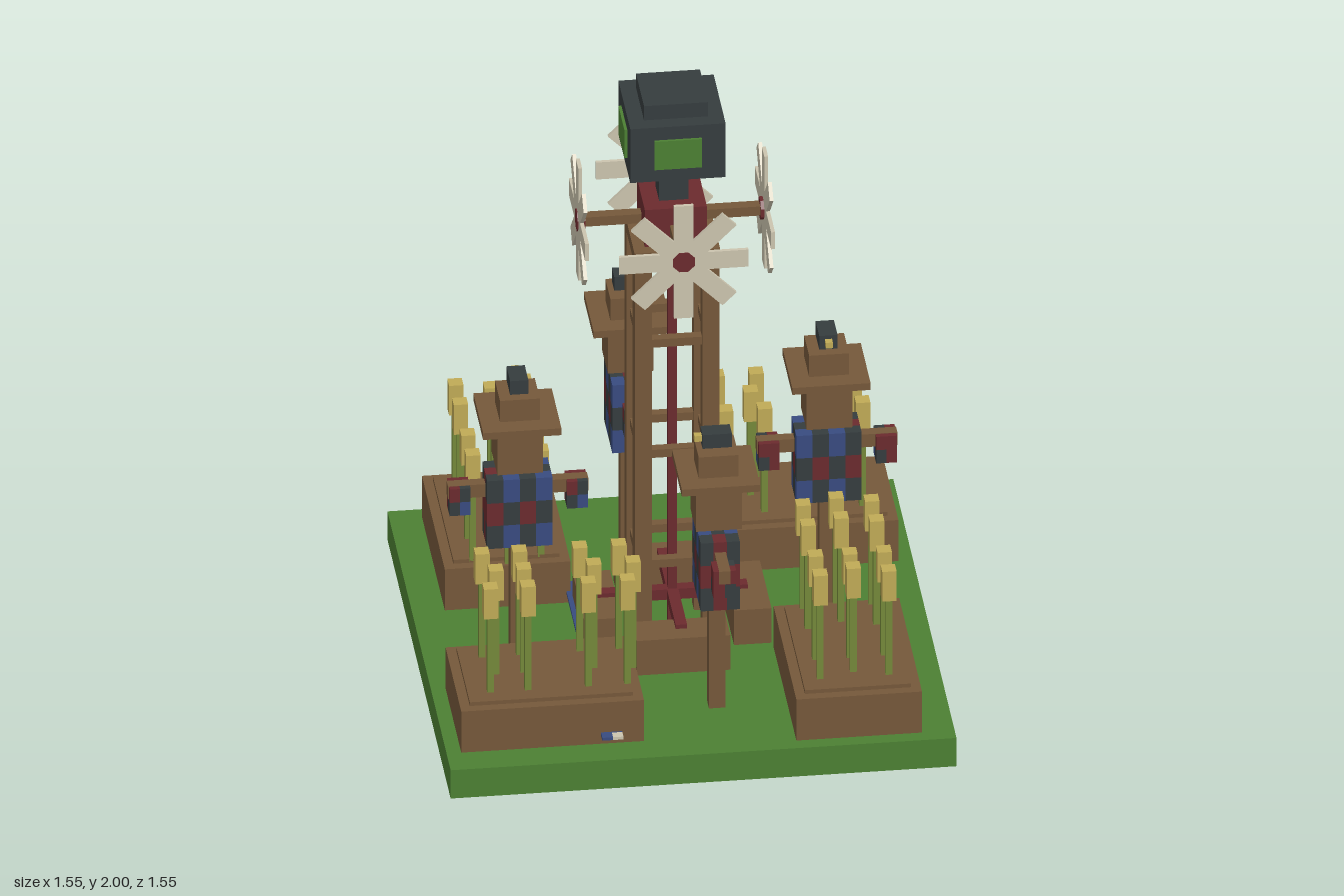
import * as THREE from 'three';

const mat = (name, color) => {
  const m = new THREE.MeshStandardMaterial({ color });
  m.name = name;
  return m;
};

export function createModel() {
  const grass = mat('grass', 0x4c8033);
  const wood = mat('wood', 0x75583a);
  const dark = mat('charcoal', 0x353c3e);
  const blue = mat('blue cloth', 0x384b80);
  const red = mat('dark red', 0x6b2a2e);
  const cream = mat('cream', 0xcbc4ae);
  const gold = mat('wheat gold', 0xc0aa56);
  const stem = mat('stem green', 0x74883a);

  const group = (name, parent) => {
    const g = new THREE.Group();
    g.name = name;
    parent.add(g);
    return g;
  };
  // Box from its min and max along each axis
  const box = (parent, name, m, [x0, x1], [y0, y1], [z0, z1]) => {
    const mesh = new THREE.Mesh(new THREE.BoxGeometry(x1 - x0, y1 - y0, z1 - z0), m);
    mesh.position.set((x0 + x1) / 2, (y0 + y1) / 2, (z0 + z1) / 2);
    mesh.name = name;
    parent.add(mesh);
    return mesh;
  };
  const mid = (w, c = 0) => [c - w / 2, c + w / 2];

  // Gingham block of coloured cells
  const gingham = (parent, name, xr, yr, zr, n) => {
    const g = group(name, parent);
    const span = (r, i, k) => [r[0] + ((r[1] - r[0]) * i) / k, r[0] + ((r[1] - r[0]) * (i + 1)) / k];
    for (let i = 0; i < n[0]; i++)
      for (let j = 0; j < n[1]; j++)
        for (let k = 0; k < n[2]; k++) {
          const odd = (i % 2) + (j % 2) + (k % 2);
          box(g, 'clothPatch', [blue, dark, red, red][odd],
            span(xr, i, n[0]), span(yr, j, n[1]), span(zr, k, n[2]));
        }
  };

  // Raised bed with rows of wheat
  const buildPlanter = (parent) => {
    const g = group('planter', parent);
    box(g, 'planterBox', wood, [-0.73, -0.17], [0.1, 0.245], [0.29, 0.675]);
    box(g, 'soil', wood, [-0.7, -0.2], [0.245, 0.258], [0.32, 0.645]);
    const outer = [-0.63, -0.515, -0.33, -0.21];
    const inner = [-0.6, -0.515, -0.3, -0.18];
    [[0.375, outer], [0.48, inner], [0.585, outer]].forEach(([z, xs]) => {
      for (const x of xs) {
        box(g, 'wheatStem', stem, mid(0.02, x), [0.25, 0.53], mid(0.02, z));
        box(g, 'wheatHead', gold, mid(0.044, x), [0.525, 0.63], mid(0.044, z));
      }
    });
  };

  // Scarecrow with a bird on its hat
  const buildScarecrow = (parent) => {
    const g = group('scarecrow', parent);
    g.position.set(0.483, 0, -0.075);
    box(g, 'post', wood, mid(0.05), [0.1, 0.77], mid(0.05));
    box(g, 'armPole', wood, mid(0.43), [0.65, 0.695], mid(0.035));
    gingham(g, 'shirt', mid(0.2), [0.49, 0.73], mid(0.12), [4, 3, 3]);
    for (const s of [-1, 1]) gingham(g, 'sleeve', mid(0.064, s * 0.18), [0.6, 0.694], mid(0.07), [2, 2, 2]);
    box(g, 'head', wood, mid(0.14), [0.755, 0.9], mid(0.14));
    box(g, 'hatBand', wood, mid(0.1), [0.9, 0.915], mid(0.1));
    box(g, 'hatBrim', wood, mid(0.24), [0.913, 0.937], mid(0.24));
    box(g, 'hatCrown', wood, mid(0.122), [0.937, 1.012], mid(0.122));
    box(g, 'birdLegs', dark, mid(0.02), [1.012, 1.024], mid(0.02));
    box(g, 'birdBody', dark, mid(0.056), [1.022, 1.07], mid(0.09));
    box(g, 'birdBeak', gold, mid(0.022), [1.038, 1.058], [0.045, 0.068]);
  };

  // Wind wheel on an axle facing +z
  const buildWheel = (parent) => {
    const g = group('windWheel', parent);
    g.position.y = 1.555;
    box(g, 'axle', wood, mid(0.036), mid(0.032), [0.09, 0.275]);
    const hub = new THREE.Mesh(new THREE.CylinderGeometry(0.036, 0.036, 0.025, 8).toNonIndexed(), red);
    hub.geometry.computeVertexNormals();
    hub.geometry.rotateY(Math.PI / 8);
    hub.geometry.rotateX(Math.PI / 2);
    hub.position.z = 0.281;
    hub.name = 'hub';
    g.add(hub);
    for (let i = 0; i < 8; i++) {
      const arm = group('bladeArm', g);
      arm.rotation.z = (i * Math.PI) / 4;
      box(arm, 'blade', cream, mid(0.06), [0.02, 0.198], mid(0.012, 0.285));
    }
  };

  const model = new THREE.Group();
  model.name = 'windmillFarm';
  box(model, 'grassBase', grass, mid(1.55), [0, 0.1], mid(1.55));

  // Four matching quarters
  for (let q = 0; q < 4; q++) {
    const g = group('quarter', model);
    g.rotation.y = (q * Math.PI) / 2;
    buildPlanter(g);
    buildScarecrow(g);
    buildWheel(g);
    box(g, 'towerLeg', wood, [0.077, 0.13], [0.1, 1.5], [0.077, 0.13]);
    for (const y of [0.39, 0.78, 1.17]) box(g, 'rung', wood, mid(0.16), mid(0.028, y), mid(0.03, 0.104));
    box(g, 'trough', wood, mid(0.287), [0.1, 0.222], [0.172, 0.287]);
    box(g, 'pipe', red, mid(0.035), [0.2, 0.236], [0.01, 0.23]);
    box(g, 'screen', grass, mid(0.145), [1.805, 1.905], [0.146, 0.155]);
  }

  // Tower core and top
  box(model, 'driveShaft', red, mid(0.027), [0.1, 1.5], mid(0.027));
  box(model, 'platform', wood, mid(0.262), [1.46, 1.5], mid(0.262));
  box(model, 'gearbox', red, mid(0.19), [1.5, 1.63], mid(0.19));
  box(model, 'neck', dark, mid(0.09), [1.63, 1.77], mid(0.09));
  box(model, 'topHousing', dark, mid(0.292), [1.76, 1.95], mid(0.292));
  box(model, 'topCap', dark, mid(0.196), [1.95, 2], mid(0.196));

  // Long flat strip lying beside the tower
  box(model, 'blueStrip', blue, [-0.302, -0.237], [0.13, 0.14], [-0.23, 0.68]);
  box(model, 'stripEnd', blue, [-0.302, -0.269], [0.13, 0.14], [0.68, 0.708]);
  box(model, 'stripTip', cream, [-0.269, -0.237], [0.13, 0.14], [0.68, 0.708]);

  return model;
}
